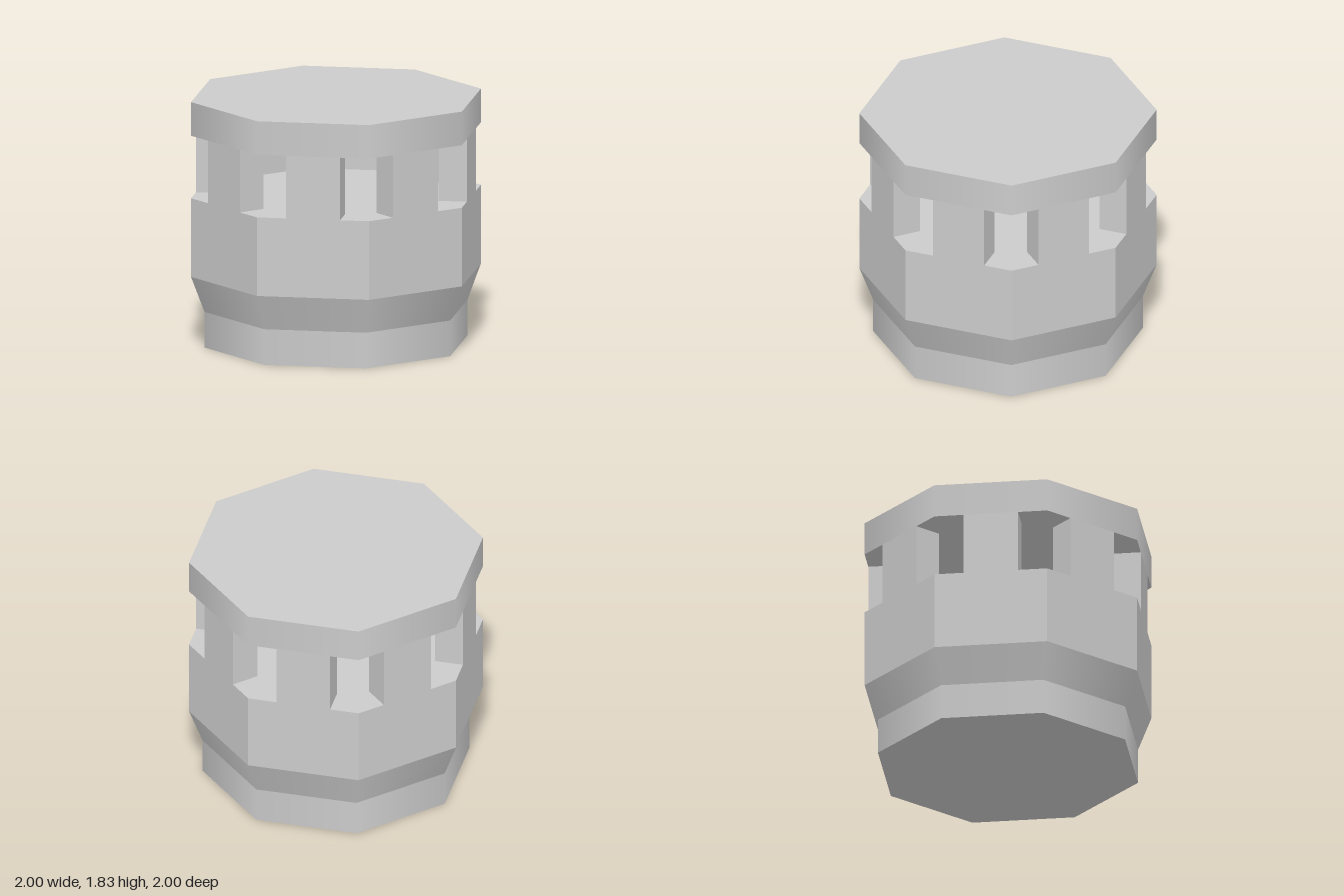
import * as THREE from 'three';

const material = new THREE.MeshStandardMaterial({ color: 0xcccccc });
const flatMaterial = new THREE.MeshStandardMaterial({ color: 0xcccccc, flatShading: true });

const SILL = 1.115;    // bottom of the windows
const LINTEL = 1.58;   // top of the windows
const WALL = 0.21;     // pillar depth

// Eight-sided band with flats facing the axes, sized by its flat-to-centre distance
function octagon(name, bottom, top, y0, y1, mat) {
  const k = 1 / Math.cos(Math.PI / 8);
  const geometry = new THREE.CylinderGeometry(top * k, bottom * k, y1 - y0, 8);
  geometry.rotateY(Math.PI / 8);
  geometry.translate(0, (y0 + y1) / 2, 0);
  const mesh = new THREE.Mesh(geometry, mat);
  mesh.name = name;
  return mesh;
}

export function createModel() {
  const model = new THREE.Group();
  model.name = 'octagonalTurret';

  // Stacked body: softly shaded foot, flare and roof, faceted wall
  model.add(
    octagon('foot', 0.907, 0.907, 0, 0.265, material),
    octagon('flare', 0.907, 1, 0.265, 0.53, material),
    octagon('lowerWall', 1, 1, 0.53, SILL, flatMaterial),
    octagon('roof', 1, 1, LINTEL, 1.83, material)
  );

  // One pillar in the middle of each face leaves a window at each corner
  const pillars = new THREE.Group();
  pillars.name = 'pillars';
  const pillarGeometry = new THREE.BoxGeometry(0.4, LINTEL - SILL, WALL);
  pillarGeometry.translate(0, (SILL + LINTEL) / 2, 1 - WALL / 2);
  for (let i = 0; i < 8; i++) {
    const pillar = new THREE.Mesh(pillarGeometry, flatMaterial);
    pillar.name = 'pillar';
    pillar.rotation.y = (i * Math.PI) / 4;
    pillars.add(pillar);
  }
  model.add(pillars);

  return model;
}
